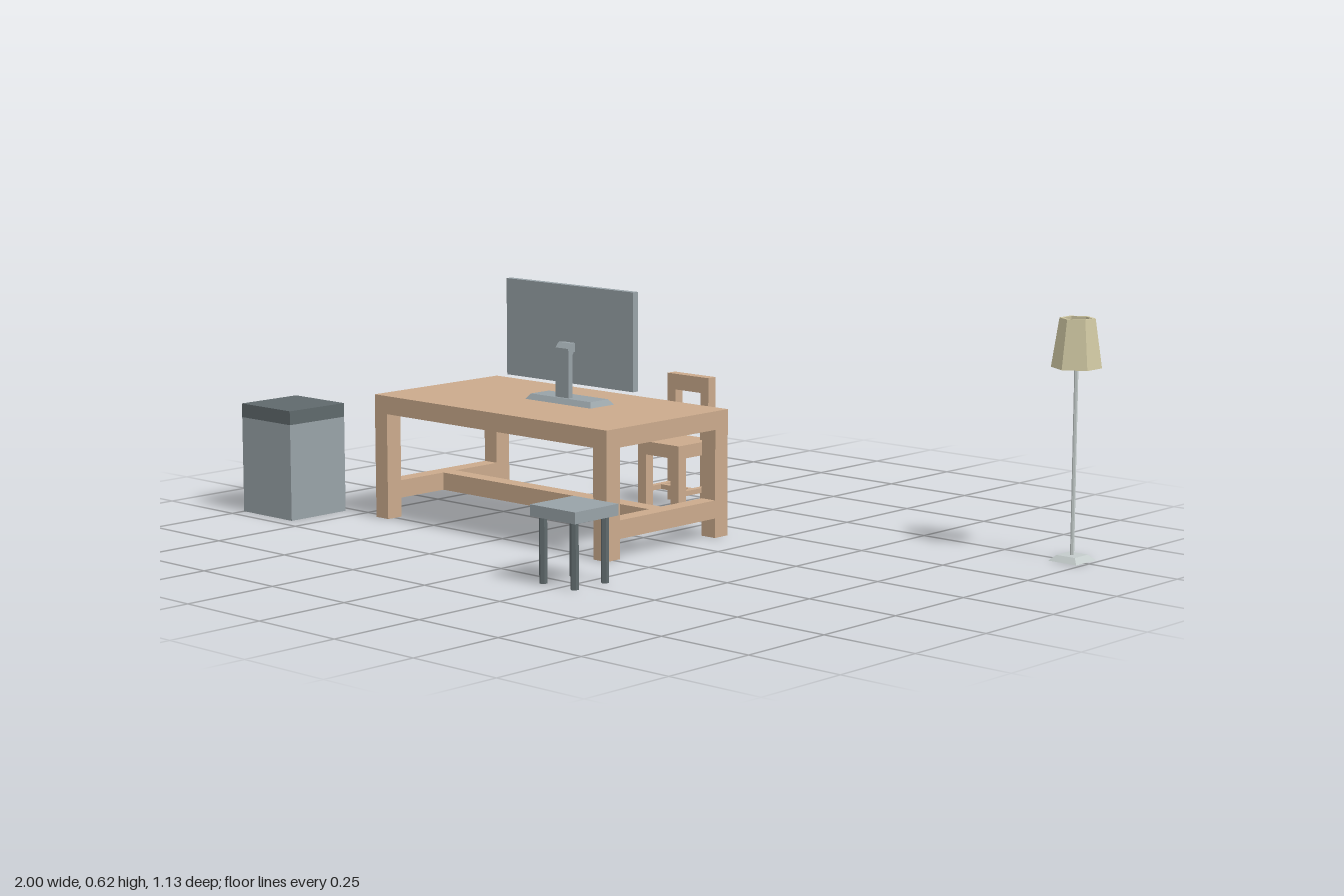
import * as THREE from 'three';

const mat = (name, color, opts = {}) => {
  const m = new THREE.MeshStandardMaterial({ color, flatShading: true, ...opts });
  m.name = name;
  return m;
};

export function createModel() {
  const wood = mat('wood', 0xcaaa8c);
  const grey = mat('grey', 0x98a2a7);
  const dark = mat('darkGrey', 0x5f696c);
  const cream = mat('creamShade', 0xcfc7a2, { side: THREE.DoubleSide });
  const pale = mat('paleMetal', 0xc3cbca);

  const root = new THREE.Group();
  const group = (name) => {
    const g = new THREE.Group();
    g.name = name;
    root.add(g);
    return g;
  };
  const add = (parent, name, geo, material) => {
    const m = new THREE.Mesh(geo, material);
    m.name = name;
    parent.add(m);
    return m;
  };
  // Box given by its minimum and maximum corners
  const box = (parent, name, material, [x0, y0, z0], [x1, y1, z1]) => {
    const m = add(parent, name, new THREE.BoxGeometry(x1 - x0, y1 - y0, z1 - z0), material);
    m.position.set((x0 + x1) / 2, (y0 + y1) / 2, (z0 + z1) / 2);
    return m;
  };
  // Plinth: a box whose top face is drawn in on every side
  const plinth = (parent, name, material, w, h, d, inset) => {
    const geo = new THREE.BoxGeometry(w, h, d);
    const p = geo.attributes.position;
    for (let i = 0; i < p.count; i++) {
      if (p.getY(i) > 0) {
        p.setX(i, p.getX(i) - Math.sign(p.getX(i)) * inset);
        p.setZ(i, p.getZ(i) - Math.sign(p.getZ(i)) * inset);
      }
    }
    geo.computeVertexNormals();
    return add(parent, name, geo, material);
  };

  // Desk: top, four legs and an H of stretchers
  const desk = group('desk');
  box(desk, 'deskTop', wood, [-0.69, 0.275, -0.165], [0.135, 0.322, 0.275]);
  for (const x of [-0.69, 0.09]) {
    for (const z of [-0.165, 0.228]) {
      box(desk, 'deskLeg', wood, [x, 0, z], [x + 0.045, 0.275, z + 0.047]);
    }
    box(desk, 'sideStretcher', wood, [x, 0.05, -0.118], [x + 0.045, 0.096, 0.228]);
  }
  box(desk, 'longStretcher', wood, [-0.645, 0.05, 0.032], [0.09, 0.096, 0.078]);

  // Chair behind the desk, facing it
  const chair = group('chair');
  box(chair, 'chairSeat', wood, [-0.3, 0.14, -0.417], [-0.155, 0.175, -0.302]);
  for (const x of [-0.3, -0.183]) {
    box(chair, 'frontLeg', wood, [x, 0, -0.33], [x + 0.028, 0.14, -0.302]);
    box(chair, 'backPost', wood, [x, 0, -0.446], [x + 0.028, 0.342, -0.417]);
    box(chair, 'chairSideStretcher', wood, [x + 0.005, 0.038, -0.417], [x + 0.023, 0.051, -0.33]);
  }
  box(chair, 'chairCrossStretcher', wood, [-0.277, 0.038, -0.382], [-0.178, 0.051, -0.366]);
  for (const [y0, y1] of [[0.14, 0.175], [0.219, 0.245], [0.3, 0.342]]) {
    box(chair, 'backRail', wood, [-0.272, y0, -0.446], [-0.183, y1, -0.417]);
  }

  // Monitor facing the chair, on a hooked neck
  const monitor = group('monitor');
  box(monitor, 'screenPanel', grey, [-0.46, 0.37, 0.004], [-0.015, 0.62, 0.022]);
  plinth(monitor, 'monitorBase', grey, 0.23, 0.014, 0.085, 0.01).position.set(-0.237, 0.329, 0.021);
  const hook = new THREE.Shape([
    [0.047, 0.334], [0.047, 0.462], [0.036, 0.475], [0.02, 0.475],
    [0.02, 0.452], [0.027, 0.452], [0.032, 0.444], [0.032, 0.334],
  ].map(([z, y]) => new THREE.Vector2(-z, y)));
  const neck = add(monitor, 'monitorNeck',
    new THREE.ExtrudeGeometry(hook, { depth: 0.045, bevelEnabled: false }), grey);
  neck.rotation.y = Math.PI / 2;
  neck.position.x = -0.26;

  // Cabinet with a dark lid
  const cabinet = group('cabinet');
  box(cabinet, 'cabinetBody', grey, [-1, 0, 0.275], [-0.81, 0.25, 0.46]);
  box(cabinet, 'cabinetLid', dark, [-1, 0.25, 0.275], [-0.81, 0.286, 0.46]);

  // Stool with six-sided legs
  const stool = group('stool');
  box(stool, 'stoolSeat', grey, [0.166, 0.16, 0.422], [0.312, 0.188, 0.567]);
  for (const sx of [-1, 1]) {
    for (const sz of [-1, 1]) {
      add(stool, 'stoolLeg', new THREE.CylinderGeometry(0.01, 0.01, 0.16, 6), dark)
        .position.set(0.239 + sx * 0.051, 0.08, 0.495 + sz * 0.051);
    }
  }

  // Floor lamp: square foot, thin pole, hollow six-sided shade
  const lamp = group('floorLamp');
  lamp.position.set(0.946, 0, -0.506);
  plinth(lamp, 'lampFoot', pale, 0.082, 0.014, 0.082, 0.014).position.y = 0.007;
  add(lamp, 'lampPole', new THREE.CylinderGeometry(0.005, 0.005, 0.536, 6), pale).position.y = 0.282;
  const shade = [[0.052, 0.472], [0.061, 0.472], [0.043, 0.592], [0.034, 0.592], [0.052, 0.472]];
  add(lamp, 'lampShade',
    new THREE.LatheGeometry(shade.map(([r, y]) => new THREE.Vector2(r, y)), 6), cream);
  for (let i = 0; i < 3; i++) {
    const strut = add(lamp, 'shadeStrut', new THREE.BoxGeometry(0.004, 0.004, 0.076), pale);
    strut.position.y = 0.545;
    strut.rotation.y = (i * Math.PI) / 3;
  }

  return root;
}
